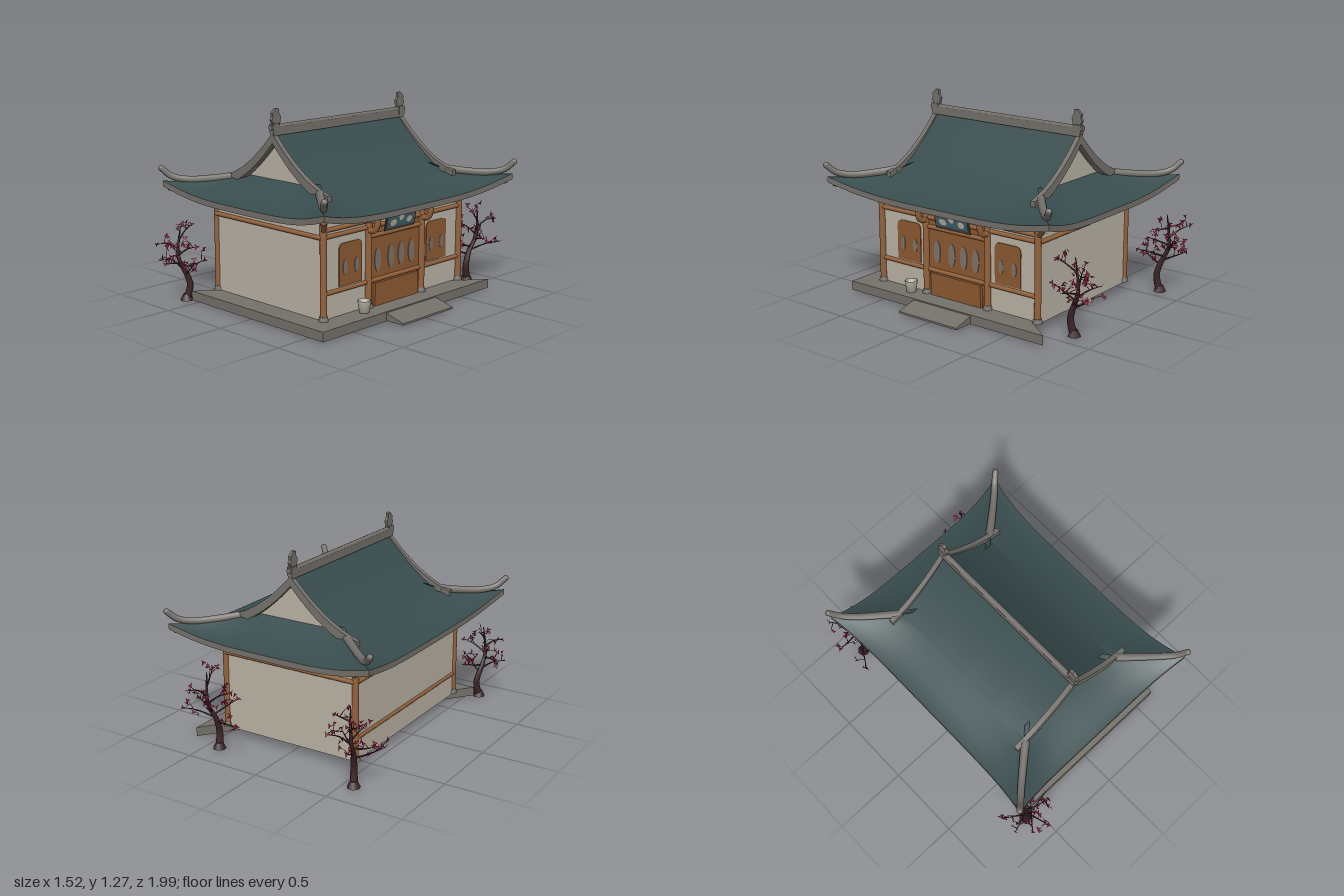
import * as THREE from 'three';

const V = (x, y, z) => new THREE.Vector3(x, y, z);
const mat = (name, color, side = THREE.FrontSide) => {
  const m = new THREE.MeshStandardMaterial({ color, side });
  m.name = name;
  return m;
};

export function createModel() {
  const stone = mat('grey stone', 0x74706a, THREE.DoubleSide);
  const plaster = mat('pale plaster', 0xb8b1a4, THREE.DoubleSide);
  const tile = mat('teal roof tile', 0x384c4e, THREE.DoubleSide);
  const wood = mat('warm wood', 0x94623b);
  const doorWood = mat('door wood', 0x8a5932);
  const pane = mat('window paper', 0x7d7268);
  const teal = mat('sign teal', 0x42606a);
  const dark = mat('dark trim', 0x3f3d38);
  const bark = mat('dark bark', 0x3b2428);
  const blossom = mat('crimson blossom', 0x921c40, THREE.DoubleSide);

  const model = new THREE.Group();
  const add = (parent, name, geo, m, x = 0, y = 0, z = 0) => {
    const o = new THREE.Mesh(geo, m);
    o.name = name;
    o.position.set(x, y, z);
    parent.add(o);
    return o;
  };
  const group = (name) => {
    const g = new THREE.Group();
    g.name = name;
    model.add(g);
    return g;
  };
  const box = (w, h, d) => new THREE.BoxGeometry(w, h, d);
  const extrude = (pts, depth) => new THREE.ExtrudeGeometry(
    new THREE.Shape(pts.map(([x, y]) => new THREE.Vector2(x, y))), { depth, bevelEnabled: false });
  // round bar between two points
  const bar = (parent, name, a, b, r, m = wood) => {
    const o = add(parent, name, new THREE.CylinderGeometry(r, r, a.distanceTo(b), 10), m);
    o.position.copy(a).add(b).multiplyScalar(0.5);
    o.quaternion.setFromUnitVectors(V(0, 1, 0), b.clone().sub(a).normalize());
  };
  // grid bent by a rule of (u, v)
  const sheet = (fn, nu, nv) => {
    const g = new THREE.PlaneGeometry(1, 1, nu, nv), p = g.attributes.position, uv = g.attributes.uv;
    for (let i = 0; i < p.count; i++) p.setXYZ(i, ...fn(uv.getX(i), uv.getY(i)));
    g.computeVertexNormals();
    return g;
  };
  // curved tube that tapers from r0 to r1
  const limb = (pts, r0, r1, seg = 10, sides = 6) => {
    const c = new THREE.CatmullRomCurve3(pts), g = new THREE.TubeGeometry(c, seg, 1, sides);
    const p = g.attributes.position, n = g.attributes.normal;
    for (let i = 0; i < p.count; i++) {
      const t = Math.floor(i / (sides + 1)) / seg, o = c.getPointAt(t), r = r0 + (r1 - r0) * t;
      p.setXYZ(i, o.x + n.getX(i) * r, o.y + n.getY(i) * r, o.z + n.getZ(i) * r);
    }
    return g;
  };

  // ---- three-cornered platform and sloping step
  const base = group('base');
  const plat = add(base, 'platform', extrude([[0.63, -0.77], [0.63, 0.77], [-0.55, 0.77]], 0.06), stone);
  plat.rotation.x = Math.PI / 2;
  plat.position.y = 0.06;
  add(base, 'entranceStep', extrude([[0.63, 0.004], [0.765, 0.004], [0.765, 0.016], [0.63, 0.052]], 0.46), stone, 0, 0, -0.23);

  // ---- walls
  const X0 = -0.463, X1 = 0.485, Z0 = -0.625, Z1 = 0.62, cx = (X0 + X1) / 2;
  const house = group('house');
  for (const z of [Z0, Z1]) add(house, 'endWall', box(X1 - X0, 0.67, 0.012), plaster, cx, 0.385, z);
  add(house, 'backWall', box(0.012, 0.67, Z1 - Z0), plaster, X0, 0.385, 0);
  add(house, 'entranceWall', box(0.012, 0.67, Z1 - Z0), plaster, X1 - 0.012, 0.385, 0);

  // ---- columns on stone feet
  const column = (x, z) => {
    add(house, 'column', new THREE.CylinderGeometry(0.021, 0.021, 0.6, 14), wood, x, 0.36, z);
    add(house, 'columnFoot', new THREE.CylinderGeometry(0.024, 0.032, 0.03, 14), stone, x, 0.072, z);
  };
  for (const z of [Z0, Z1]) { column(X0, z); column(X1, z); }
  for (const z of [-0.25, 0.24]) {
    column(X1 + 0.005, z);
    // bracket with a curled nose
    add(house, 'bracketBlock', box(0.06, 0.05, 0.05), wood, X1 + 0.01, 0.62, z);
    add(house, 'bracketArm', box(0.1, 0.03, 0.034), wood, X1 + 0.045, 0.635, z);
    add(house, 'bracketNose', limb([V(0.5, 0.545, z), V(0.54, 0.55, z), V(0.56, 0.585, z), V(0.565, 0.63, z)], 0.021, 0.018, 8, 8), wood);
  }

  // ---- tie beams
  for (const z of [Z0 - 0.012, Z1 + 0.012]) bar(house, 'endBeam', V(X0, 0.56, z), V(X1, 0.56, z), 0.014);
  bar(house, 'backLowerBeam', V(X0, 0.2, Z0), V(X0, 0.2, Z1), 0.016);
  bar(house, 'backUpperBeam', V(X0 - 0.01, 0.56, Z0), V(X0 - 0.01, 0.56, Z1), 0.014);
  for (const y of [0.22, 0.56]) bar(house, 'entranceBeam', V(X1, y, Z0), V(X1, y, Z1), 0.014);
  bar(house, 'entranceTopBeam', V(X1, 0.6, Z0), V(X1, 0.6, Z1), 0.014);
  bar(house, 'lintel', V(X1, 0.5, -0.25), V(X1, 0.5, 0.24), 0.014);

  // ---- entrance bay
  add(house, 'doorPanel', box(0.012, 0.5, 0.46), doorWood, X1 - 0.006, 0.31, -0.005);
  add(house, 'lowerPanel', box(0.03, 0.15, 0.4), doorWood, X1 + 0.005, 0.13, -0.005);
  const rounded = (w, h, r) => {
    const s = new THREE.Shape();
    s.moveTo(-w / 2, -h / 2).lineTo(w / 2, -h / 2).lineTo(w / 2, h / 2 - r);
    s.quadraticCurveTo(w / 2, h / 2, w / 2 - r, h / 2).lineTo(r - w / 2, h / 2);
    s.quadraticCurveTo(-w / 2, h / 2, -w / 2, h / 2 - r);
    return new THREE.ExtrudeGeometry(s, { depth: 0.006, bevelEnabled: false }).rotateY(Math.PI / 2);
  };
  const oval = (w, h) => new THREE.CylinderGeometry(1, 1, 0.004, 16).rotateZ(Math.PI / 2).scale(1, h / 2, w / 2);
  for (const z of [0.155, 0.035, -0.06, -0.155]) add(house, 'latticeWindow', oval(0.055, 0.15), pane, X1 + 0.002, 0.345, z);
  for (const z of [0.39, -0.4]) {
    add(house, 'sideShutter', rounded(0.195, 0.26, 0.04), doorWood, X1 - 0.006, 0.37, z);
    for (const dz of [-0.05, 0.05]) add(house, 'shutterWindow', oval(0.035, 0.09), pane, X1 + 0.001, 0.35, z + dz);
  }
  // ---- hanging name board, left blank with painted patches
  const sign = group('signBoard');
  sign.position.set(0.525, 0.58, -0.005);
  sign.rotation.z = -0.2;
  add(sign, 'signFrame', rounded(0.275, 0.12, 0.015), dark);
  add(sign, 'signPlate', box(0.006, 0.085, 0.25), teal, 0.006);
  for (const [y, z, w] of [[-0.012, 0.07, 0.06], [0.014, 0, 0.045], [-0.008, -0.075, 0.05]]) {
    add(sign, 'paintedPatch', oval(w, 0.045), plaster, 0.008, y, z);
  }

  // ---- water pot
  add(model, 'pot', new THREE.LatheGeometry([[0, 0], [0.03, 0], [0.042, 0.075], [0.036, 0.075], [0.028, 0.03], [0, 0.03]]
    .map(([x, y]) => new THREE.Vector2(x, y)), 18), plaster, 0.54, 0.06, 0.33);

  // ---- roof: gabled top over a hipped skirt with raised corners
  const roof = group('roof');
  roof.position.set(0.012, 0, -0.008);
  const prof = (x) => 0.69 + 0.41 * Math.pow(Math.max(0, 1 - Math.abs(x) / 0.67), 1.8);
  const skirt = (s, t, side) => {
    const k = Math.max(s, 0), a = Math.abs(t), hx = 0.38 + 0.29 * s, hz = 0.55 + 0.28 * s;
    const x = hx + 0.045 * k * a ** 5, z = hz + 0.035 * k * a ** 5;
    const y = prof(hx) + 0.078 * k ** 0.7 * a ** 4;
    return side ? [x, y, t * z] : [t * x, y + 0.025 * (1 - s), z];
  };
  const skins = [['tiles', tile, 0], ['soffit', stone, -0.037]];
  for (const d of [-1, 1]) {
    const flipX = ([x, y, z], dy) => [d * x, y + dy, z], flipZ = ([x, y, z], dy) => [x, y + dy, d * z];
    for (const [n, m, dy] of skins) {
      add(roof, n + 'Upper', sheet((u, v) => [d * 0.38 * v, prof(0.38 * v) + dy, (u - 0.5) * 1.13], 4, 14), m);
      add(roof, n + 'Side', sheet((u, v) => flipX(skirt(v, u * 2 - 1, true), dy), 32, 10), m);
      add(roof, n + 'End', sheet((u, v) => flipZ(skirt(v * 1.15 - 0.15, u * 2 - 1, false), dy), 32, 10), m);
    }
    add(roof, 'eaveSide', sheet((u, v) => flipX(skirt(1, u * 2 - 1, true), -0.037 * v), 32, 1), stone);
    add(roof, 'eaveEnd', sheet((u, v) => flipZ(skirt(1, u * 2 - 1, false), -0.037 * v), 32, 1), stone);

    // gable wall and the curved verge ridge
    const xs = Array.from({ length: 25 }, (_, i) => (i - 12) / 12);
    add(roof, 'gableWall', extrude([...xs.map((t) => [t * 0.35, prof(t * 0.35) - 0.01]), [0.35, 0.77], [-0.35, 0.77]], 0.01), plaster, 0, 0, d * 0.525 - 0.005);
    const top = (x) => prof(x) + 0.015 + 0.2 * x * x;
    add(roof, 'vergeRidge', extrude([...xs.map((t) => [t * 0.465, top(t * 0.465)]),
      ...xs.slice().reverse().map((t) => [t * 0.465, top(t * 0.465) - 0.062])], 0.032), stone, 0, 0, d * 0.57 - 0.016);

    // ridge-end ornament, leaning inward
    const orn = extrude([[0.02, 0], [0.042, 0.03], [0.03, 0.05], [0.035, 0.07], [0.005, 0.1], [-0.02, 0.095], [-0.018, 0.07], [-0.035, 0.045], [-0.025, 0]], 0.02);
    const o = add(roof, 'ridgeOrnament', orn, stone, d > 0 ? 0.01 : -0.01, 1.165, d * 0.555);
    o.rotation.y = -d * Math.PI / 2;
    add(roof, 'ornamentBase', box(0.036, 0.055, 0.05), stone, 0, 1.145, d * 0.565);

    // hip ridges and the rafters below them
    for (const e of [-1, 1]) {
      add(roof, 'hipRidge', limb([V(0.39 * e, 0.798, 0.572 * d), V(0.48 * e, 0.784, 0.65 * d), V(0.6 * e, 0.776, 0.755 * d),
        V(0.675 * e, 0.796, 0.825 * d), V(0.722 * e, 0.846, 0.868 * d)], 0.027, 0.02, 20, 8), stone);
      add(roof, 'hipRidgeTip', new THREE.SphereGeometry(0.02, 8, 6), stone, 0.722 * e, 0.846, 0.868 * d);
      add(roof, 'cornerRafter', limb([V(0.45 * e, 0.635, 0.6 * d), V(0.56 * e, 0.68, 0.715 * d), V(0.69 * e, 0.727, 0.84 * d)], 0.024, 0.02, 8, 6), wood);
      add(roof, 'cornerBrace', limb([V(0.46 * e, 0.595, 0.61 * d), V(0.51 * e, 0.625, 0.665 * d), V(0.56 * e, 0.67, 0.715 * d)], 0.016, 0.012, 6, 6), wood);
    }
  }
  add(roof, 'ridge', box(0.034, 0.05, 1.17), stone, 0, 1.125, 0);
  bar(roof, 'ridgeCap', V(0, 1.15, -0.6), V(0, 1.15, 0.6), 0.017, stone);

  // ---- blossom trees
  let seed = 7;
  const rnd = () => (seed = (seed * 16807) % 2147483647) / 2147483647;
  const tree = (x, z, h, out, turn, dx) => {
    const g = group('blossomTree');
    const keep = (p) => V(THREE.MathUtils.clamp(p.x, -0.735, 0.65), Math.min(p.y, h), THREE.MathUtils.clamp(p.z, -0.985, 0.985));
    const trunk = new THREE.CatmullRomCurve3([V(x, 0, z), V(x + 0.012, h * 0.2, z - out * 0.02), V(x - 0.005 + dx * 0.4, h * 0.38, z + out * 0.01),
      V(x - 0.012 + dx, h * 0.55, z + out * 0.05), V(x + dx, h * 0.92, z + out * 0.035)]);
    add(g, 'trunk', limb(trunk.getPoints(8), 0.026, 0.003, 18, 7), bark);
    add(g, 'rootFlare', new THREE.CylinderGeometry(0.022, 0.042, 0.04, 7), bark, x, 0.02, z);
    // three-pointed blossom
    const leaf = (p) => {
      const pts = Array.from({ length: 6 }, (_, i) => [Math.cos(i * 1.0472), Math.sin(i * 1.0472)].map((c) => c * (i % 2 ? 0.008 : 0.022)));
      const l = add(g, 'blossom', new THREE.ShapeGeometry(new THREE.Shape(pts.map(([a, b]) => new THREE.Vector2(a, b)))), blossom);
      l.position.copy(p);
      l.rotation.set(rnd() * 6, rnd() * 6, rnd() * 6);
    };
    for (let i = 0; i < 8; i++) {
      const a = i * 2.4 + turn, s = trunk.getPoint(0.42 + i * 0.068), r = (0.2 - i * 0.011) * (0.8 + 0.3 * rnd());
      const end = keep(V(s.x + Math.cos(a) * r, s.y + 0.01 + 0.09 * rnd(), s.z + Math.sin(a) * r));
      const mid = s.clone().lerp(end, 0.5).add(V(0, 0.03 * (rnd() - 0.3), 0));
      add(g, 'branch', limb([s, mid, end], 0.007, 0.002, 6, 5), bark);
      leaf(end);
      for (let j = 0; j < 3; j++) {
        const f = mid.clone().lerp(end, j / 3);
        const tip = keep(f.clone().add(V((rnd() - 0.5) * 0.11, rnd() * 0.07 - 0.01, (rnd() - 0.5) * 0.11)));
        add(g, 'twig', limb([f, f.clone().lerp(tip, 0.5).add(V(0, 0.006, 0)), tip], 0.003, 0.0015, 3, 4), blossom);
        for (let k = 0; k < 2; k++) leaf(keep(tip.clone().add(V(rnd() - 0.5, rnd() - 0.5, rnd() - 0.5).multiplyScalar(0.03))));
      }
    }
  };
  tree(-0.58, 0.79, 0.53, 1, 0.4, 0);
  tree(-0.58, -0.83, 0.57, -1, 2.1, 0);
  tree(0.4, -0.83, 0.55, -1, 3.3, 0.05);
  return model;
}
